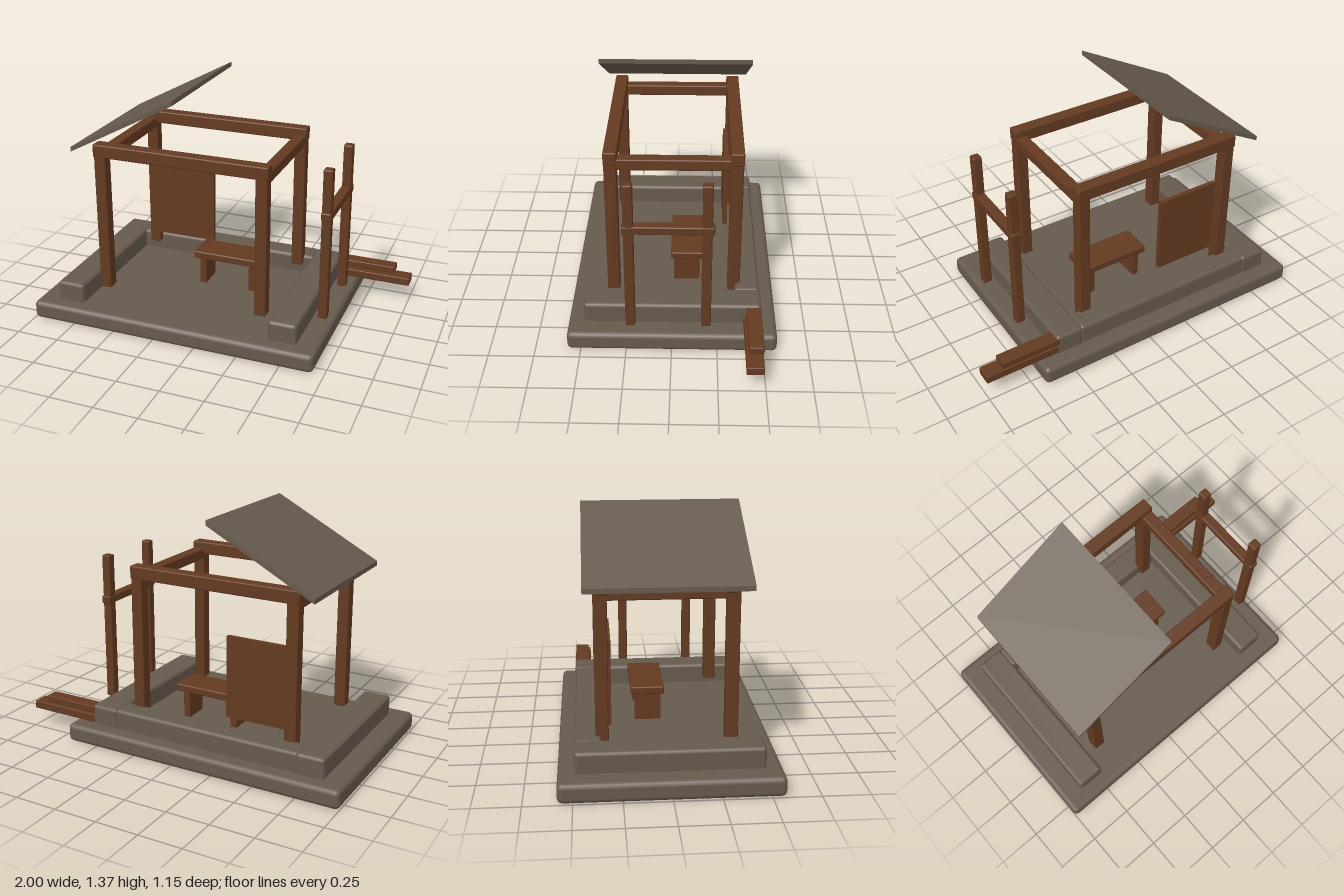
import * as THREE from 'three';
import { RoundedBoxGeometry } from 'three/addons/geometries/RoundedBoxGeometry.js';

export function createModel() {
  const model = new THREE.Group();
  model.name = 'openShelter';

  const stone = new THREE.MeshStandardMaterial({ color: 0x665a4d });
  stone.name = 'stone';
  const wood = new THREE.MeshStandardMaterial({ color: 0x633a20 });
  wood.name = 'wood';

  // Block given by its [min, max] extents; bevel 0 gives sharp edges
  function block(name, material, [x0, x1], [y0, y1], [z0, z1], bevel = 0.008) {
    const size = [x1 - x0, y1 - y0, z1 - z0];
    const geometry = bevel > 0
      ? new RoundedBoxGeometry(...size, 2, bevel)
      : new THREE.BoxGeometry(...size);
    const mesh = new THREE.Mesh(geometry, material);
    mesh.name = name;
    mesh.position.set((x0 + x1) / 2, (y0 + y1) / 2, (z0 + z1) / 2);
    model.add(mesh);
    return mesh;
  }

  // Stone base and low walls on three sides
  block('base', stone, [-1, 0.69], [0, 0.107], [-0.578, 0.575], 0.028);
  block('rightWall', stone, [-0.88, -0.717], [0.09, 0.22], [-0.492, 0.488], 0.02);
  block('leftWall', stone, [0.405, 0.57], [0.09, 0.22], [-0.492, 0.488], 0.02);
  block('backWall', stone, [-0.73, 0.415], [0.09, 0.219], [-0.488, -0.35], 0.02);

  // Timber frame: four posts, two long beams, two lower cross beams
  const frameX = [[-0.665, -0.597], [0.286, 0.354]];
  const frameZ = [[-0.38, -0.31], [0.3, 0.37]];
  for (const x of frameX) {
    for (const z of frameZ) block('post', wood, x, [0.17, 1.0], z);
    block('crossBeam', wood, x, [0.945, 1.01], [-0.345, 0.335]);
  }
  for (const [z0, z1] of frameZ) {
    block('longBeam', wood, [-0.67, 0.358], [0.975, 1.05], [z0 - 0.002, z1 + 0.002]);
  }

  // Hanging back panel
  block('backPanel', wood, [-0.6, -0.217], [0.25, 0.72], [-0.32, -0.294], 0);

  // Bench
  block('benchSeat', wood, [-0.223, 0.197], [0.27, 0.315], [-0.175, 0.014]);
  for (const x of [-0.17, 0.14]) {
    block('benchLeg', wood, [x - 0.02, x + 0.02], [0.1, 0.28], [-0.152, -0.002], 0.004);
  }

  // Hitching rail at the side
  for (const z of [[-0.213, -0.16], [0.197, 0.25]]) {
    block('railPost', wood, [0.618, 0.67], [0.157, 1.035], z);
  }
  block('rail', wood, [0.616, 0.672], [0.745, 0.792], [-0.225, 0.258]);

  // Two stacked planks reaching out past the wall
  block('lowerPlank', wood, [0.45, 1], [0.108, 0.155], [-0.488, -0.395], 0.005);
  block('upperPlank', wood, [0.45, 0.905], [0.168, 0.208], [-0.491, -0.41], 0.005);

  // Remaining roof slab, sloping up to a vertically cut ridge edge
  const section = new THREE.Shape([
    new THREE.Vector2(-0.775, 1.012),
    new THREE.Vector2(-0.157, 1.341),
    new THREE.Vector2(-0.157, 1.368),
    new THREE.Vector2(-0.775, 1.039),
  ]);
  const roof = new THREE.Mesh(
    new THREE.ExtrudeGeometry(section, { depth: 0.86, bevelEnabled: false }), stone);
  roof.name = 'roofSlab';
  roof.position.z = -0.435;
  model.add(roof);

  return model;
}
